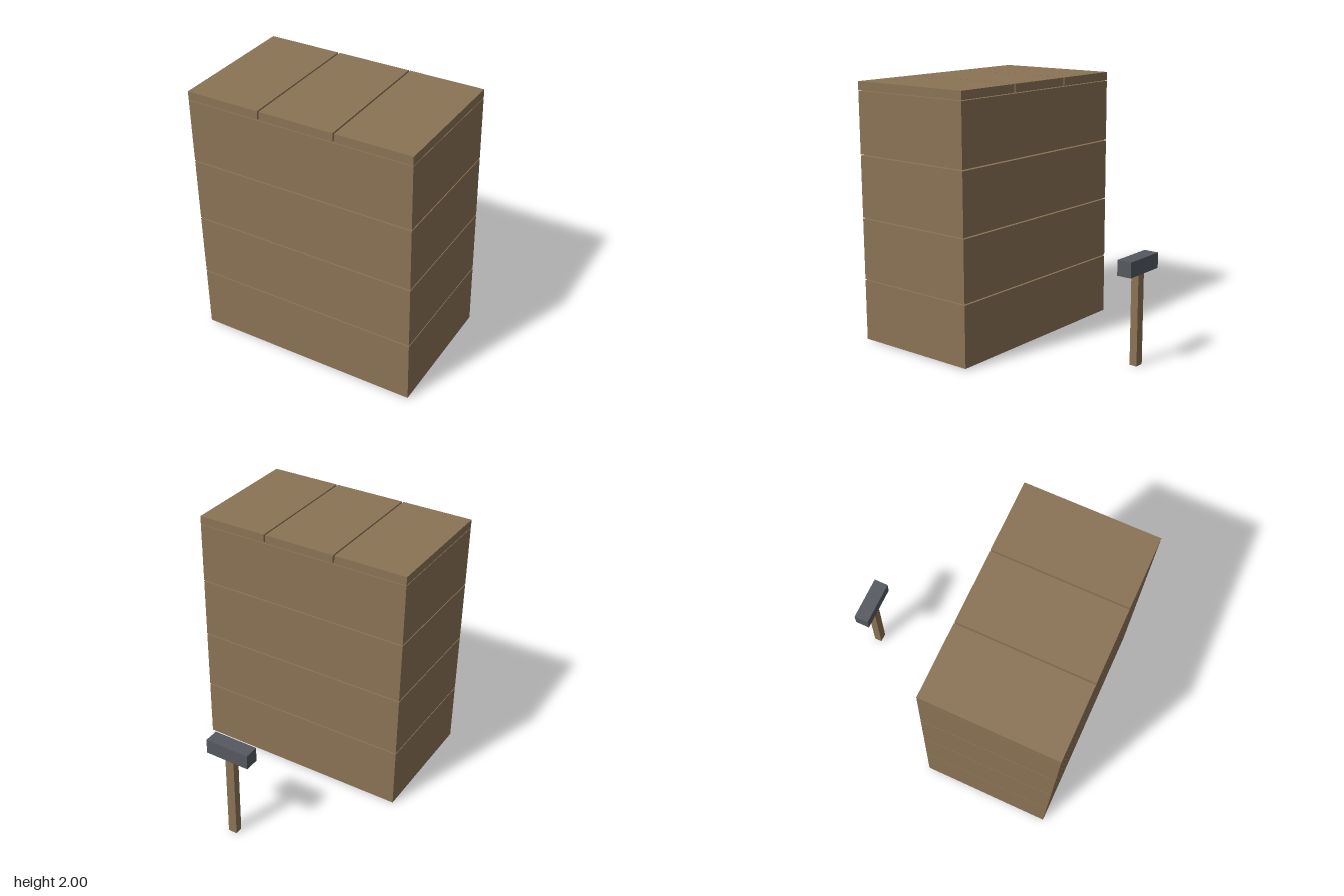
import * as THREE from 'three';

export function createModel() {
  const model = new THREE.Group();
  model.name = 'crateAndMallet';

  const wood = new THREE.MeshStandardMaterial({ color: 0x8b7355 });
  wood.name = 'brown wood';
  const metal = new THREE.MeshStandardMaterial({ color: 0x555a60 });
  metal.name = 'dark grey metal';

  const add = (parent, name, geometry, material, x, y, z) => {
    const mesh = new THREE.Mesh(geometry, material);
    mesh.name = name;
    mesh.position.set(x, y, z);
    parent.add(mesh);
    return mesh;
  };

  // Crate: open-bottomed, four stacked plank rings with narrow gaps
  const W = 1.72, D = 1.02, T = 0.064, tierH = 0.473, pitch = 0.4825;
  const crate = new THREE.Group();
  crate.name = 'crate';
  crate.position.z = 0.472;
  model.add(crate);

  const rectangle = (PathType, w, d) => new PathType([
    new THREE.Vector2(-w / 2, -d / 2), new THREE.Vector2(w / 2, -d / 2),
    new THREE.Vector2(w / 2, d / 2), new THREE.Vector2(-w / 2, d / 2),
  ]);
  const outline = rectangle(THREE.Shape, W, D);
  outline.holes.push(rectangle(THREE.Path, W - 2 * T, D - 2 * T));
  const ring = new THREE.ExtrudeGeometry(outline, { depth: tierH, bevelEnabled: false });
  ring.rotateX(-Math.PI / 2);
  for (let i = 0; i < 4; i++) add(crate, 'plankRing' + (i + 1), ring, wood, 0, 0.01 + i * pitch, 0);

  // Lid: three planks side by side
  const lidW = 0.565, lidH = 0.064;
  const plank = new THREE.BoxGeometry(lidW, lidH, D);
  for (let i = -1; i <= 1; i++) {
    add(crate, 'lidPlank' + (i + 2), plank, wood, i * (W - lidW) / 2, 2 - lidH / 2, 0);
  }

  // Mallet standing behind the crate
  const mallet = new THREE.Group();
  mallet.name = 'mallet';
  mallet.position.z = -0.925;
  model.add(mallet);
  add(mallet, 'malletHandle', new THREE.BoxGeometry(0.07, 0.7, 0.06), wood, 0, 0.35, 0);
  add(mallet, 'malletHead', new THREE.BoxGeometry(0.35, 0.115, 0.114), metal, 0, 0.757, 0);

  return model;
}
